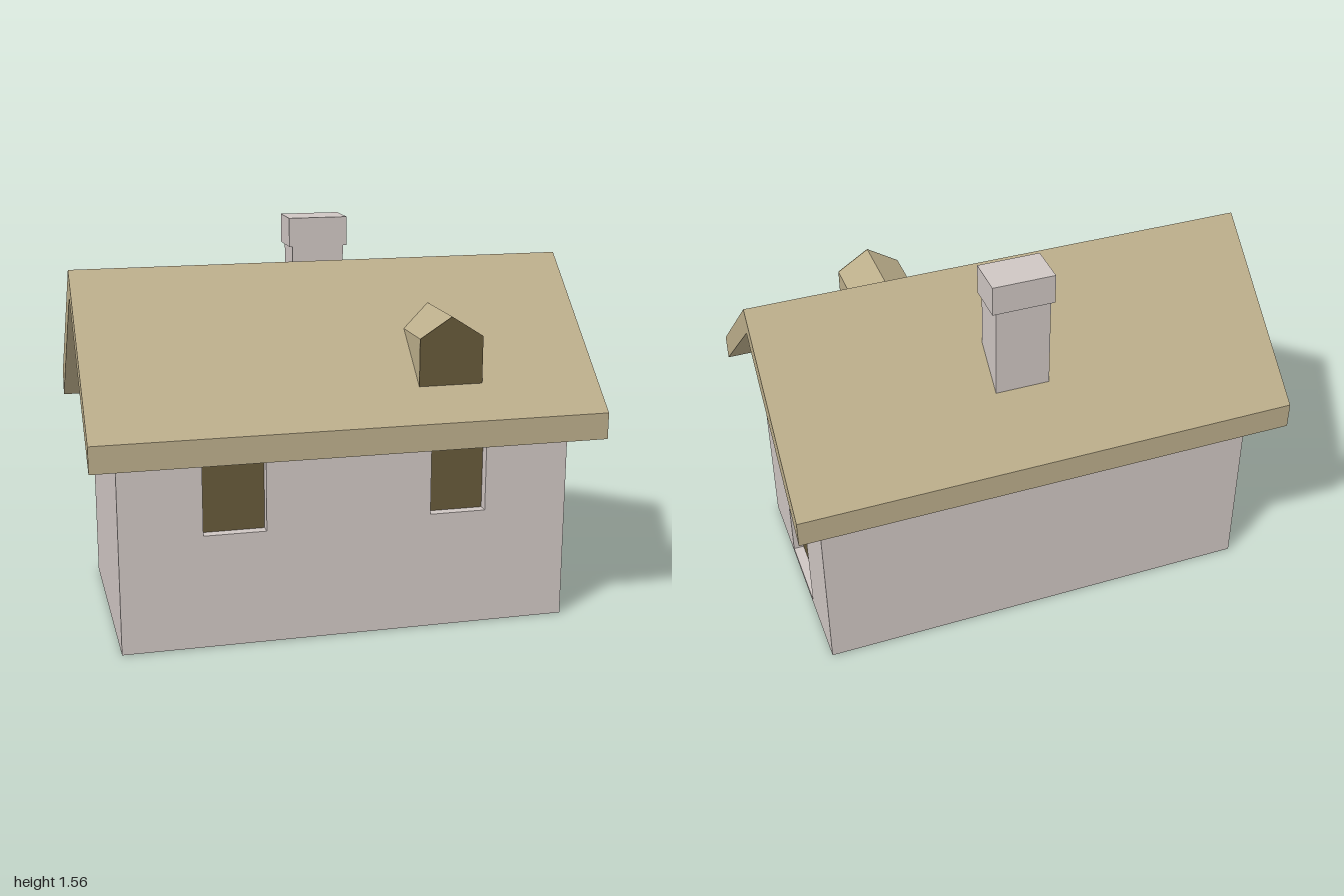
import * as THREE from 'three';

const mat = (name, color) => new THREE.MeshStandardMaterial({ name, color });

// Shape from a list of corner points
const poly = (pts) => new THREE.Shape(pts.map(([a, b]) => new THREE.Vector2(a, b)));
const rect = (x0, x1, y0, y1) => [[x0, y0], [x1, y0], [x1, y1], [x0, y1]];

export function createModel() {
  const house = new THREE.Group();
  house.name = 'house';
  const plaster = mat('plaster', 0xcfc6c3);
  const roofTan = mat('roofTan', 0xbcae8b);
  const darkWood = mat('darkWood', 0x66593a);

  const add = (name, geometry, material) => {
    const mesh = new THREE.Mesh(geometry, material);
    mesh.name = name;
    house.add(mesh);
    return mesh;
  };
  // Extrude an outline from a to b along z, or along x when alongX is set
  const slab = (pts, a, b, alongX = false, holes = []) => {
    const shape = poly(pts);
    shape.holes = holes.map(poly);
    const g = new THREE.ExtrudeGeometry(shape, { depth: b - a, bevelEnabled: false });
    g.translate(0, 0, a);
    if (alongX) g.rotateY(Math.PI / 2);
    return g;
  };
  const box = (x0, x1, y0, y1, z0, z1) =>
    new THREE.BoxGeometry(x1 - x0, y1 - y0, z1 - z0)
      .translate((x0 + x1) / 2, (y0 + y1) / 2, (z0 + z1) / 2);

  const W = 0.892, D = 0.475, T = 0.045, base = 0.002, eave = 0.89;

  // Long walls, the front one with window openings
  const windows = [rect(-0.57, -0.325, 0.455, 0.745), rect(0.33, 0.555, 0.47, 0.735)];
  const wall = rect(-W + T, W - T, base, eave);
  add('frontWall', slab(wall, D - T, D, false, windows), plaster);
  add('backWall', slab(wall, -D, -D + T), plaster);
  windows.forEach((w, i) =>
    add(i ? 'leftWindow' : 'rightWindow', slab(w, D - T - 0.004, D - T + 0.003), darkWood));

  // Gable walls, one with a pointed doorway
  const gable = [[-D, base], [D, base], [D, eave], [0, 1.305], [-D, eave]];
  const doorway = [[-0.163, 0.02], [0.163, 0.02], [0.163, 0.59], [0, 0.772], [-0.163, 0.59]];
  add('doorGable', slab(gable, W - T, W, true, [doorway]), plaster);
  add('plainGable', slab(gable, -W, -W + T, true), plaster);
  add('door', slab(doorway, W - T - 0.004, W - T + 0.003, true), darkWood);

  // Underside of the floor
  add('floor', new THREE.PlaneGeometry(2 * W, 2 * D).rotateX(Math.PI / 2), roofTan);

  // Thick pitched roof
  add('roof', slab([[-0.615, 0.77], [0, 1.305], [0.615, 0.77],
    [0.615, 0.875], [0, 1.412], [-0.615, 0.875]], -1, 1, true), roofTan);

  // Dormer with a dark front face
  const dormer = [[0.272, 0.99], [0.525, 0.99], [0.525, 1.175], [0.398, 1.256], [0.272, 1.175]];
  add('dormer', slab(dormer, 0.15, 0.48), roofTan);
  add('dormerWindow', slab(dormer, 0.48, 0.485), darkWood);

  // Chimney and its cap
  add('chimney', box(-0.06, 0.155, 1.02, 1.44, -0.385, -0.232), plaster);
  add('chimneyCap', box(-0.075, 0.17, 1.438, 1.556, -0.39, -0.228), plaster);

  return house;
}
